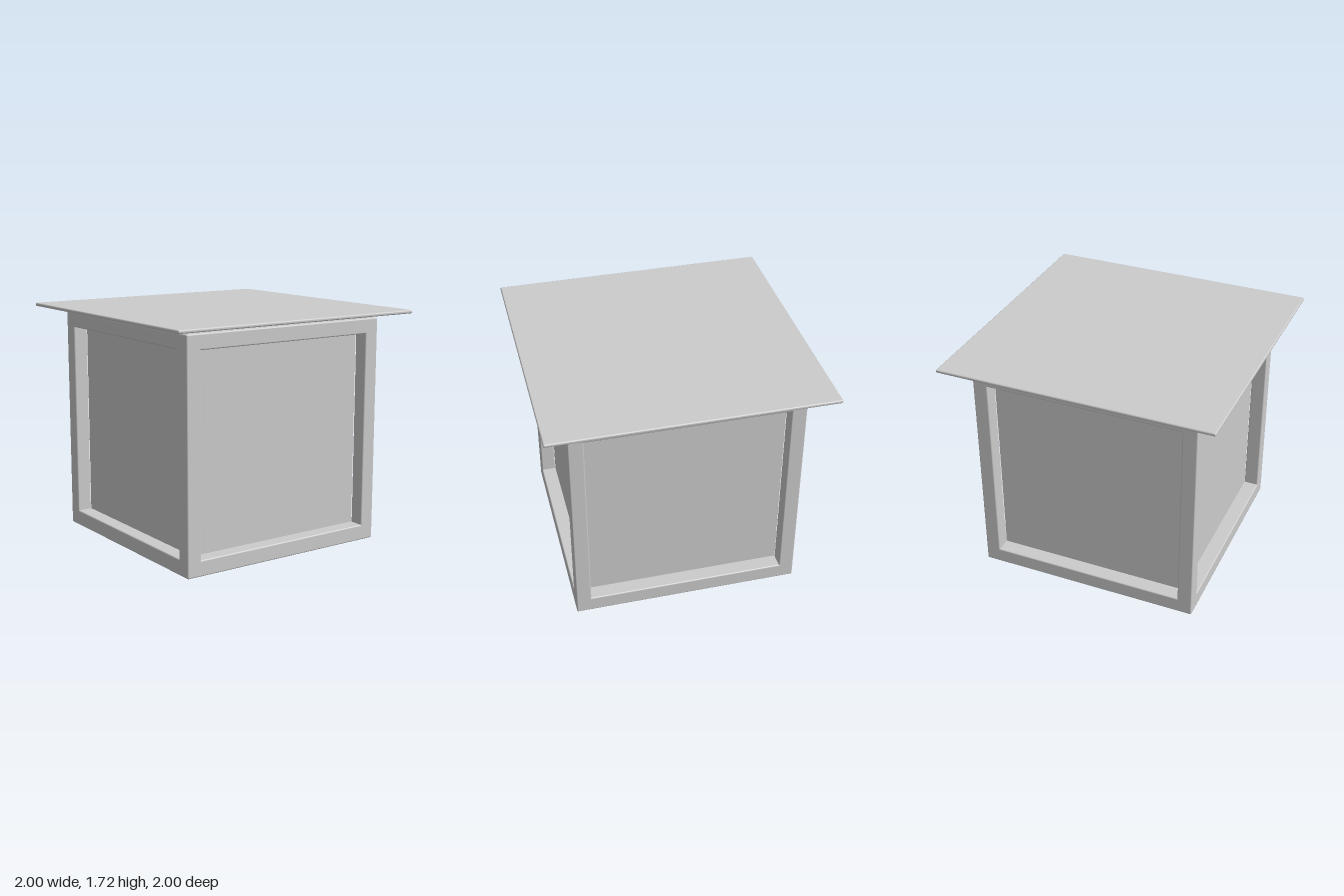
import * as THREE from 'three';
import { RoundedBoxGeometry } from 'three/addons/geometries/RoundedBoxGeometry.js';

const material = new THREE.MeshStandardMaterial({ color: 0xcccccc });

// Box with softened edges, given its half widths in x and z and its y range
function block(name, halfX, halfZ, y0, y1, x = 0, z = 0, bevel = 0.01) {
  const geometry = new RoundedBoxGeometry(halfX * 2, y1 - y0, halfZ * 2, 2, bevel);
  const mesh = new THREE.Mesh(geometry, material);
  mesh.name = name;
  mesh.position.set(x, (y0 + y1) / 2, z);
  return mesh;
}

export function createModel() {
  const model = new THREE.Group();
  model.name = 'liddedCrate';

  const outer = 0.825, inner = 0.715, top = 1.655;
  const middle = (outer + inner) / 2, halfPost = (outer - inner) / 2;

  // Frame: bottom and top slabs joined by four corner posts
  const frame = new THREE.Group();
  frame.name = 'frame';
  frame.add(block('bottomFrame', outer, outer, 0, 0.115));
  frame.add(block('topFrame', outer, outer, 1.545, top));
  for (const sx of [-1, 1]) {
    for (const sz of [-1, 1]) {
      frame.add(block('cornerPost', halfPost, halfPost, 0, top, sx * middle, sz * middle));
    }
  }
  model.add(frame);

  // Recessed side panels, formed by one inner body
  const core = new THREE.Mesh(new THREE.BoxGeometry(inner * 2, 1.45, inner * 2), material);
  core.name = 'recessedPanels';
  core.position.y = 0.83;
  model.add(core);

  // Narrow riser under the overhanging lid
  model.add(block('lidRiser', 0.7, 0.7, 1.64, 1.695));
  model.add(block('lid', 1, 1, 1.69, 1.715));

  return model;
}
